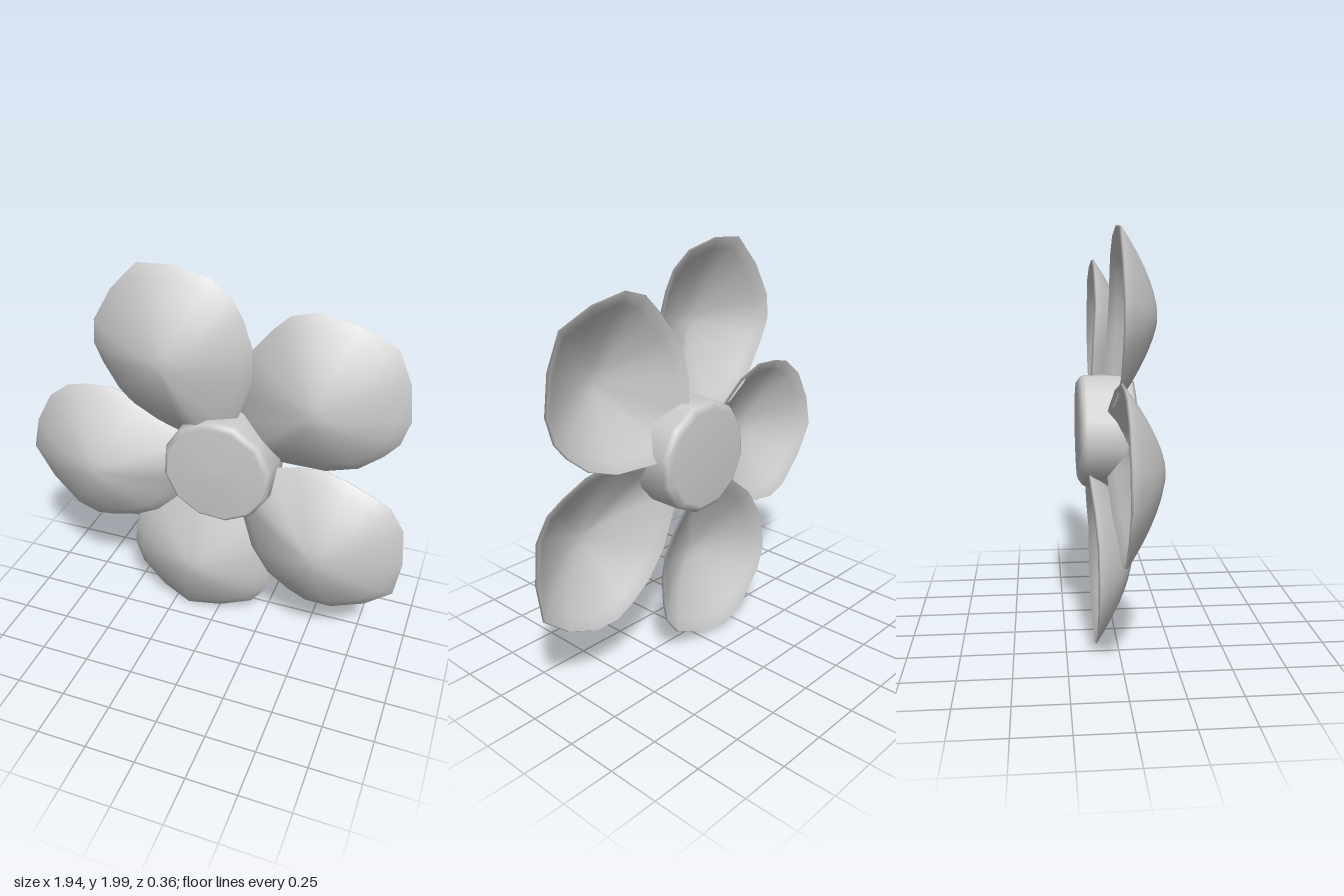
import * as THREE from 'three';

const material = new THREE.MeshStandardMaterial({ color: 0xcccccc, side: THREE.DoubleSide });

// Petal rim, counter-clockwise: [distance from the hub axis, sideways offset]
const rim = [
  [1.04, 0.03], [0.96, 0.2], [0.84, 0.35], [0.73, 0.4], [0.63, 0.395], [0.49, 0.37],
  [0.38, 0.33], [0.28, 0.25], [0.18, 0.13], [0.05, 0.0], [0.16, -0.11], [0.24, -0.18],
  [0.39, -0.3], [0.54, -0.36], [0.68, -0.365], [0.78, -0.35], [0.89, -0.28], [0.99, -0.13],
];

// Thin cupped shell: rings run from the crown out to the rim, then back inside
function petalGeometry() {
  const crown = [0.61, 0.01], height = 0.18, thickness = 0.015, rings = 7, n = rim.length;
  const positions = [], index = [];
  const addRing = (r, drop) => {
    for (const [u, v] of rim) {
      const x = crown[0] + (u - crown[0]) * r;
      const y = crown[1] + (v - crown[1]) * r;
      const baseDip = -0.04 * r * Math.max(0, (0.5 - u) / 0.45);
      positions.push(x, y, height * (1 - Math.pow(r, 1.6)) + baseDip - drop);
    }
  };
  positions.push(crown[0], crown[1], height - 0.002);
  for (let k = 1; k <= rings; k++) addRing(k / rings, 0);
  for (let k = rings; k >= 1; k--) addRing(k === rings ? 0.985 : k / rings, thickness);
  positions.push(crown[0], crown[1], height - 0.002 - thickness);

  const last = 1 + 2 * rings * n;
  for (let j = 0; j < n; j++) {
    const j2 = (j + 1) % n;
    index.push(0, 1 + j, 1 + j2);
    for (let k = 0; k < 2 * rings - 1; k++) {
      const a = 1 + k * n + j, b = 1 + k * n + j2;
      index.push(a, a + n, b + n, a, b + n, b);
    }
    const s = 1 + (2 * rings - 1) * n;
    index.push(s + j, last, s + j2);
  }
  const geometry = new THREE.BufferGeometry();
  geometry.setAttribute('position', new THREE.Float32BufferAttribute(positions, 3));
  geometry.setIndex(index);
  geometry.computeVertexNormals();
  return geometry;
}

export function createModel() {
  const flower = new THREE.Group();
  flower.name = 'flower';
  const center = [0.05, 1.03];

  // Five petals: [angle in degrees, depth]
  const petal = petalGeometry();
  [[111.1, 0], [41.3, -0.07], [-33.6, -0.015], [256.2, -0.1], [185, -0.01]].forEach(([angle, z], i) => {
    const mesh = new THREE.Mesh(petal, material);
    mesh.name = `petal${i + 1}`;
    mesh.position.set(...center, z);
    mesh.rotation.z = THREE.MathUtils.degToRad(angle);
    flower.add(mesh);
  });

  // Twelve-sided hub with bevelled edges
  const profile = [
    [0, -0.18], [0.235, -0.18], [0.265, -0.16], [0.275, -0.14],
    [0.275, 0.05], [0.265, 0.08], [0.245, 0.095], [0, 0.1],
  ].map(([r, y]) => new THREE.Vector2(r, y));
  const hub = new THREE.Mesh(new THREE.LatheGeometry(profile, 12, 0.2), material);
  hub.name = 'hub';
  hub.rotation.x = Math.PI / 2;
  hub.position.set(...center, 0);
  flower.add(hub);

  return flower;
}
